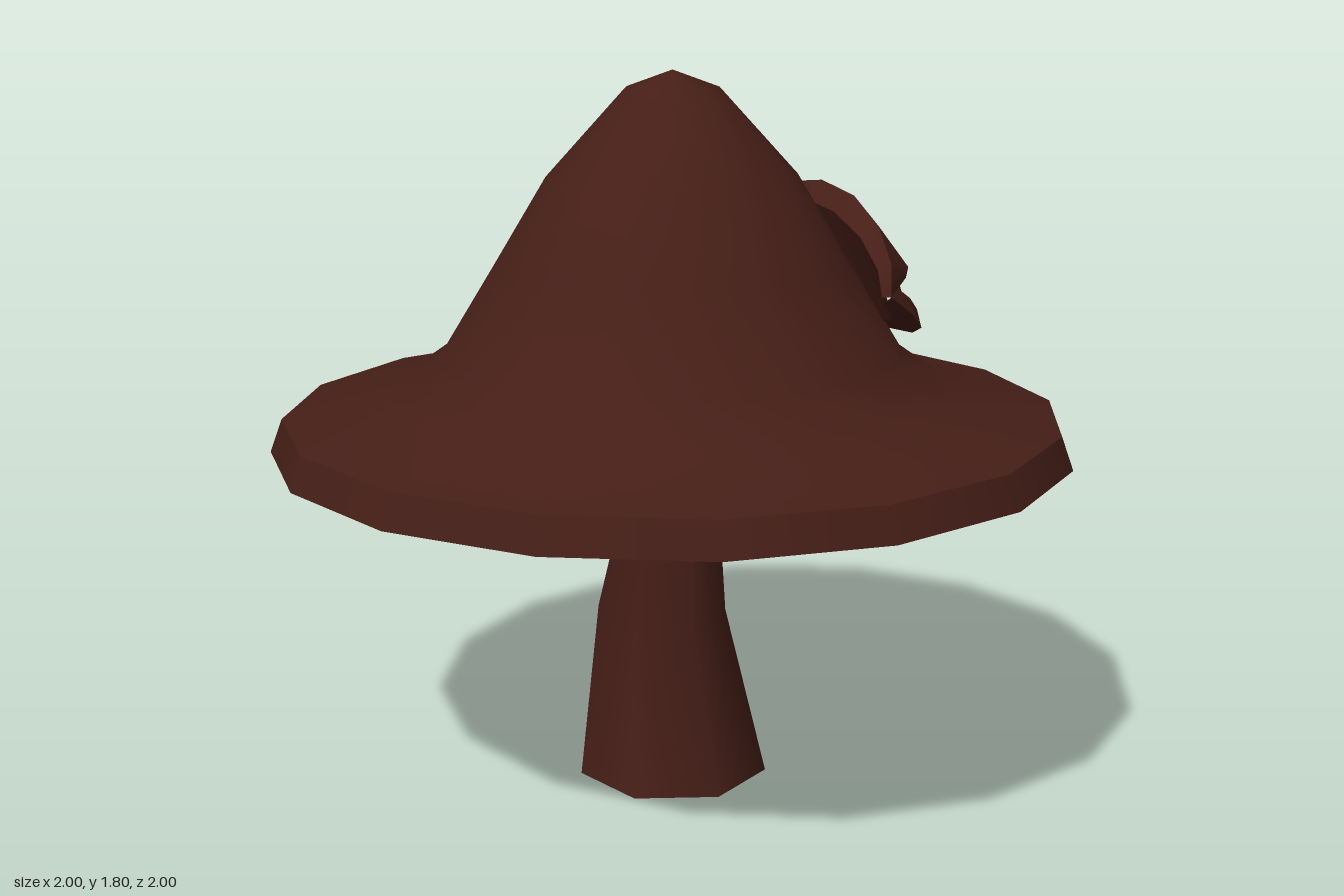
import * as THREE from 'three';
import { toCreasedNormals, mergeGeometries } from 'three/addons/utils/BufferGeometryUtils.js';

const brown = new THREE.MeshStandardMaterial({ color: 0x451e17 });

function part(name, geometry) {
  const mesh = new THREE.Mesh(geometry, brown);
  mesh.name = name;
  return mesh;
}

// 16-sided turned surface, profile given as [radius, y]
function turned(name, profile) {
  return part(name, new THREE.LatheGeometry(profile.map(p => new THREE.Vector2(...p)), 16));
}

// Seven-sided bent stem: each ring has a height, radius, z shift and tilt
function createStem() {
  const rings = [
    { y: 0, r: 0.245, z: 0, tilt: 0 },
    { y: 0.43, r: 0.168, z: -0.06, tilt: -0.12 },
    { y: 0.95, r: 0.09, z: 0.03, tilt: 0 },
  ];
  const geo = new THREE.CylinderGeometry(1, 1, 2, 7, 2);
  const pos = geo.attributes.position;
  for (let i = 0; i < pos.count; i++) {
    const ring = rings[Math.round(pos.getY(i) + 1)];
    const z = pos.getZ(i) * ring.r;
    pos.setXYZ(i, pos.getX(i) * ring.r, ring.y + z * ring.tilt, z + ring.z);
  }
  return part('stem', toCreasedNormals(geo, 1.05));
}

// One band of the eye between two guide lines, swept from corner to corner along z
function band(from, to, steps = 8) {
  const positions = [], index = [];
  for (let i = 0; i <= steps; i++) {
    const u = -Math.cos(Math.PI * i / steps);
    const bulge = Math.pow(Math.max(0, 1 - u * u), 0.6);
    for (const g of [from, to]) {
      positions.push(
        THREE.MathUtils.lerp(g.corner[0], g.mid[0], bulge),
        THREE.MathUtils.lerp(g.corner[1], g.mid[1], bulge),
        0.02 + u * g.corner[2]);
    }
    if (i < steps) {
      const a = i * 2;
      index.push(a, a + 2, a + 1, a + 2, a + 3, a + 1);
    }
  }
  const geo = new THREE.BufferGeometry();
  geo.setAttribute('position', new THREE.Float32BufferAttribute(positions, 3));
  geo.setIndex(index);
  geo.computeVertexNormals();
  return geo;
}

// Heavy-lidded eye on the side of the cap
function createEye() {
  const outer = [0.36, 1.28, 0.41], inner = [0.41, 1.295, 0.345];
  const guides = {
    back: { mid: [0.36, 1.47], corner: [0.34, 1.28, 0.4] },
    top: { mid: [0.42, 1.51], corner: outer },
    lidEdge: { mid: [0.58, 1.325], corner: inner },
    lidUnder: { mid: [0.52, 1.28], corner: inner },
    ballBase: { mid: [0.55, 1.2], corner: inner },
    rimTop: { mid: [0.625, 1.16], corner: inner },
    rimBottom: { mid: [0.625, 1.11], corner: outer },
    base: { mid: [0.5, 1.16], corner: [0.34, 1.26, 0.4] },
  };
  const bands = (...names) => mergeGeometries(
    names.slice(1).map((n, i) => band(guides[names[i]], guides[n])));
  const eye = new THREE.Group();
  eye.name = 'eye';
  eye.add(
    part('upperLid', bands('back', 'top', 'lidEdge', 'lidUnder')),
    part('eyeball', bands('lidUnder', 'ballBase')),
    part('lowerLid', bands('ballBase', 'rimTop', 'rimBottom', 'base', 'back')));
  return eye;
}

export function createModel() {
  const model = new THREE.Group();
  model.name = 'mushroom';

  // Cap in three surfaces, so the rim keeps crisp edges
  const cap = new THREE.Group();
  cap.name = 'cap';
  cap.add(
    turned('capUnderside', [[0, 0.93], [0.4, 0.895], [0.78, 0.825], [1, 0.873]]),
    turned('capRim', [[1, 0.873], [0.97, 0.955]]),
    turned('capTop', [[0.97, 0.955], [0.7, 1.022], [0.575, 1.11], [0.44, 1.33],
      [0.31, 1.545], [0.115, 1.758], [0, 1.8]]));

  model.add(createStem(), cap, createEye());
  return model;
}
